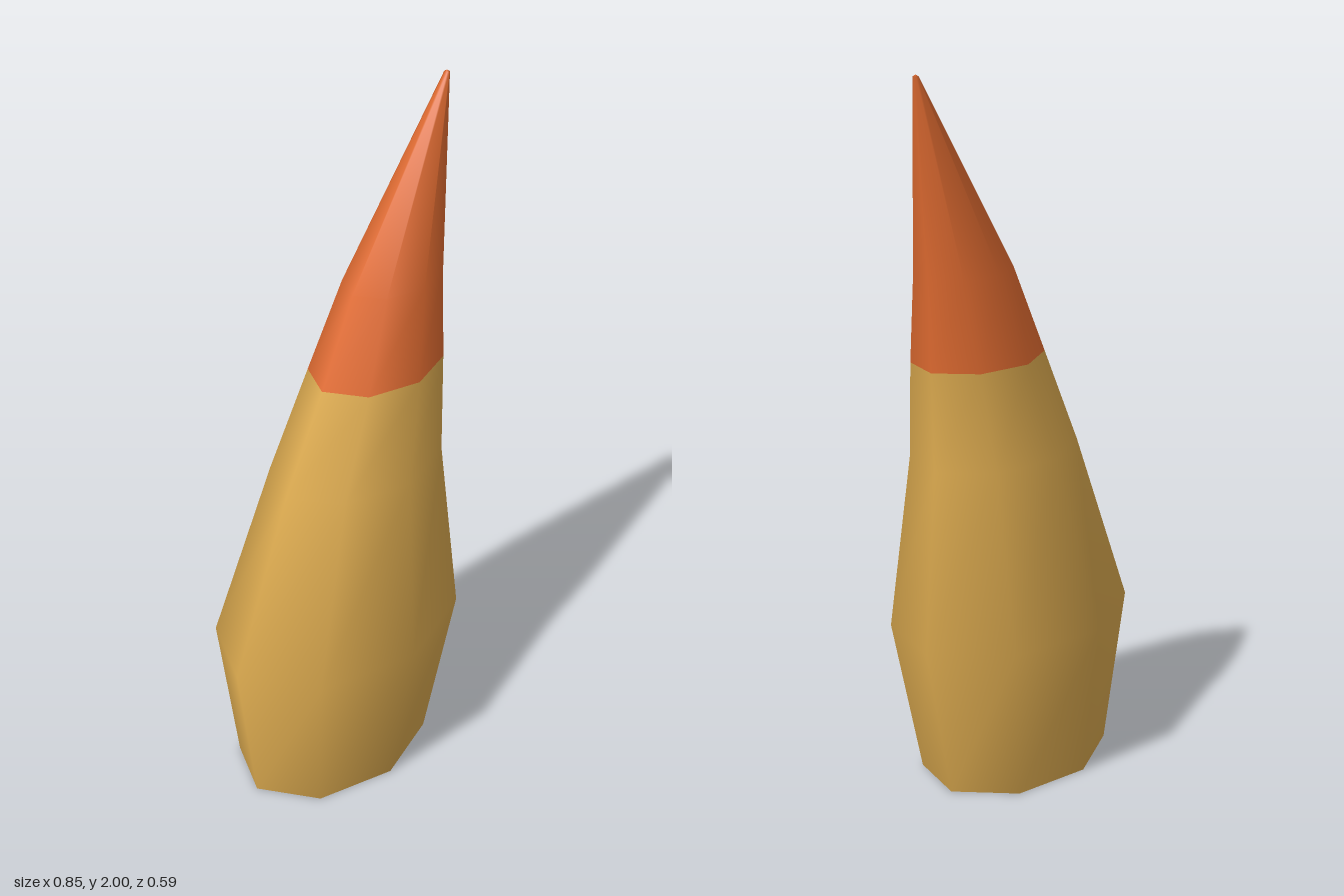
import * as THREE from 'three';

const SIDES = 8;

// Cross-sections from base to tip: [y, min x, max x, half depth]
const RINGS = [
  [0, -0.36, 0.285, 0.235],
  [0.45, -0.425, 0.395, 0.295],
  [0.95, -0.22, 0.35, 0.2],
  [1.225, -0.075, 0.36, 0.16],
  [1.47, 0.045, 0.37, 0.115],
  [1.995, 0.404, 0.42, 0.008],
  [2, 0.412, 0.412, 0],
];
const TIP_START = 3; // ring where the tip colour begins

// Smooth eight-sided loft with one material group per colour
function hornGeometry() {
  const positions = [];
  const indices = [];
  for (const [y, x0, x1, rz] of RINGS) {
    for (let i = 0; i < SIDES; i++) {
      const a = (i / SIDES) * Math.PI * 2;
      positions.push((x0 + x1) / 2 + ((x1 - x0) / 2) * Math.cos(a), y, rz * Math.sin(a));
    }
  }
  for (let r = 0; r < RINGS.length - 1; r++) {
    for (let i = 0; i < SIDES; i++) {
      const a = r * SIDES + i;
      const b = r * SIDES + ((i + 1) % SIDES);
      indices.push(a, a + SIDES, b, b, a + SIDES, b + SIDES);
    }
  }
  const geometry = new THREE.BufferGeometry();
  geometry.setAttribute('position', new THREE.Float32BufferAttribute(positions, 3));
  geometry.setIndex(indices);
  geometry.computeVertexNormals();
  const split = TIP_START * SIDES * 6;
  geometry.addGroup(0, split, 0);
  geometry.addGroup(split, indices.length - split, 1);
  return geometry;
}

export function createModel() {
  const gold = new THREE.MeshStandardMaterial({ color: 0xd9a84e });
  gold.name = 'gold';
  const orange = new THREE.MeshStandardMaterial({ color: 0xde6a30 });
  orange.name = 'orange';

  const model = new THREE.Group();
  model.name = 'curvedHorn';

  // Leaning body with its coloured tip
  const horn = new THREE.Mesh(hornGeometry(), [gold, orange]);
  horn.name = 'hornBodyAndTip';
  model.add(horn);

  // Flat underside
  const [y, x0, x1, rz] = RINGS[0];
  const cap = new THREE.CircleGeometry(1, SIDES);
  cap.rotateX(Math.PI / 2);
  cap.scale((x1 - x0) / 2, 1, rz);
  cap.translate((x0 + x1) / 2, y, 0);
  const base = new THREE.Mesh(cap, gold);
  base.name = 'baseCap';
  model.add(base);

  return model;
}
